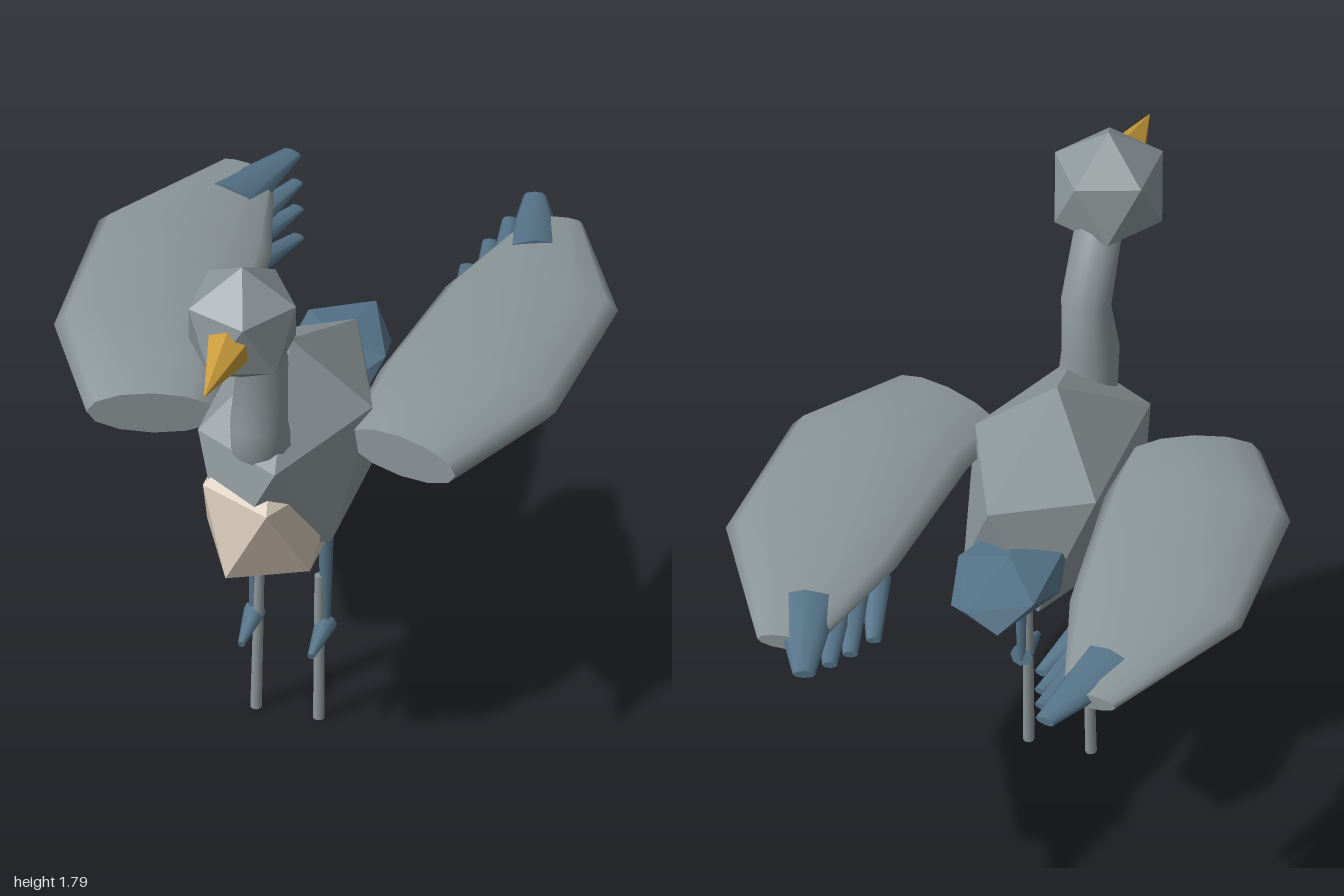
import * as THREE from 'three';

const V = (x, y, z) => new THREE.Vector3(x, y, z);

// Flat-faced icosahedron with a vertex straight up and another straight down
function gemGeometry() {
  const ring = (y, turn) => Array.from({ length: 5 }, (_, k) => {
    const a = (k + turn) * Math.PI * 0.4;
    return V(0.8944 * Math.cos(a), y, 0.8944 * Math.sin(a));
  });
  const up = ring(0.4472, 0), low = ring(-0.4472, 0.5);
  const top = V(0, 1, 0), bottom = V(0, -1, 0), pts = [];
  for (let k = 0; k < 5; k++) {
    const n = (k + 1) % 5;
    pts.push(top, up[n], up[k], up[k], up[n], low[k]);
    pts.push(up[n], low[n], low[k], bottom, low[k], low[n]);
  }
  const g = new THREE.BufferGeometry().setFromPoints(pts);
  g.computeVertexNormals();
  return g;
}

// Smooth skin over elliptical rings { c: centre, a, b: half axes }, with flat end caps
function loftGeometry(rings, sides, turn = 1) {
  const pts = [], index = [];
  const addRing = (r) => {
    for (let j = 0; j < sides; j++) {
      const t = (j / sides) * Math.PI * 2 * turn;
      pts.push(r.c.clone().addScaledVector(r.a, Math.cos(t)).addScaledVector(r.b, Math.sin(t)));
    }
  };
  rings.forEach(addRing);
  for (let i = 0; i < rings.length - 1; i++) {
    for (let j = 0; j < sides; j++) {
      const n = (j + 1) % sides, p = i * sides, q = p + sides;
      index.push(p + j, q + j, p + n, p + n, q + j, q + n);
    }
  }
  [rings[0], rings[rings.length - 1]].forEach((r, end) => {
    const base = pts.length;
    addRing(r);
    pts.push(r.c.clone());
    for (let j = 0; j < sides; j++) {
      const n = (j + 1) % sides;
      if (end) index.push(base + sides, base + n, base + j);
      else index.push(base + sides, base + j, base + n);
    }
  });
  const g = new THREE.BufferGeometry().setFromPoints(pts);
  g.setIndex(index);
  g.computeVertexNormals();
  return g;
}

export function createModel() {
  const model = new THREE.Group();
  model.name = 'bird';

  const material = (name, color, flatShading = false) => {
    const m = new THREE.MeshStandardMaterial({ color, flatShading });
    m.name = name;
    return m;
  };
  const grey = material('greyPlumage', 0x8b9598);
  const slate = material('slateBlue', 0x557388);
  const cream = material('cream', 0xd2c5b5);
  const gold = material('gold', 0xc79a3a, true);

  const add = (name, geometry, mat, parent = model) => {
    const mesh = new THREE.Mesh(geometry, mat);
    mesh.name = name;
    parent.add(mesh);
    return mesh;
  };
  const gem = (name, mat, centre, radii) => {
    const mesh = add(name, gemGeometry(), mat);
    mesh.position.set(...centre);
    mesh.scale.set(...radii);
  };
  // Tapered rod between two points
  const rod = (name, mat, from, to, r0, r1, sides, parent, flatten = 1) => {
    const dir = to.clone().sub(from);
    const g = new THREE.CylinderGeometry(r1, r0, dir.length(), sides);
    const mesh = add(name, g, mat, parent);
    mesh.position.copy(from).lerp(to, 0.5);
    mesh.quaternion.setFromUnitVectors(V(0, 1, 0), dir.normalize());
    mesh.scale.z = flatten;
    return mesh;
  };

  // Faceted masses
  gem('body', grey, [0, 0.91, 0.18], [0.265, 0.33, 0.458]);
  gem('breast', cream, [0, 0.82, 0.34], [0.212, 0.255, 0.306]);
  gem('head', grey, [0, 1.605, 0.635], [0.173, 0.185, 0.183]);
  gem('tail', slate, [0, 0.897, -0.24], [0.165, 0.062, 0.29]);

  // Curved neck
  const neck = [
    [1.05, 0.445, 0.087, 0, 0.085],
    [1.16, 0.475, 0.082, 0.01, 0.08],
    [1.35, 0.435, 0.072, -0.01, 0.056],
    [1.55, 0.562, 0.068, -0.03, 0.046],
  ].map(([y, z, rx, by, bz]) => ({ c: V(0, y, z), a: V(rx, 0, 0), b: V(0, by, bz) }));
  add('neck', loftGeometry(neck, 12), grey);

  // Six-sided beak
  const beak = new THREE.ConeGeometry(0.075, 0.27, 6);
  beak.rotateX(Math.PI / 2);
  const beakMesh = add('beak', beak, gold);
  beakMesh.position.set(0, 1.602, 0.865);
  beakMesh.rotation.x = 0.03;

  for (const s of [1, -1]) {
    const side = s > 0 ? 'left' : 'right';

    // Leg: thigh, shank and forward toe
    const leg = new THREE.Group();
    leg.name = side + 'Leg';
    model.add(leg);
    rod('thigh', slate, V(0.1 * s, 0.68, 0.167), V(0.103 * s, 0.28, 0.185), 0.023, 0.013, 8, leg);
    rod('shank', grey, V(0.086 * s, 0.465, 0.185), V(0.09 * s, 0, 0.205), 0.014, 0.016, 8, leg);
    rod('toe', slate, V(0.102 * s, 0.302, 0.175), V(0.1 * s, 0.28, 0.313), 0.032, 0.01, 8, leg);

    // Wing: inner edge [x, y, z], outer edge [x, y, z], half thickness
    const wing = new THREE.Group();
    wing.name = side + 'Wing';
    model.add(wing);
    const rings = [
      [0.18, 0.995, 0.25, 0.53, 1.01, 0.362, 0.066],
      [0.2, 1.045, -0.01, 0.72, 1.045, 0.04, 0.082],
      [0.25, 1.025, -0.47, 0.745, 1.045, -0.47, 0.06],
      [0.36, 1.0, -0.86, 0.518, 1.01, -0.885, 0.022],
    ].map(([x0, y0, z0, x1, y1, z1, h]) => {
      const inner = V(x0 * s, y0, z0), outer = V(x1 * s, y1, z1);
      return {
        c: inner.clone().lerp(outer, 0.5),
        a: outer.clone().sub(inner).multiplyScalar(0.5),
        b: V(0, h, 0),
      };
    });
    add('wingCover', loftGeometry(rings, 12, s), grey, wing);

    // Flight feathers: base, tip, base radius, tip radius, half thicknesses
    const feathers = [
      [0.44, 1.015, -0.7, 0.348, 1.0, -0.99, 0.085, 0.03, 0.05, 0.012],
      [0.38, 0.985, -0.63, 0.305, 0.975, -0.895, 0.05, 0.02, 0.035, 0.01],
      [0.35, 0.98, -0.56, 0.275, 0.955, -0.805, 0.045, 0.02, 0.033, 0.01],
      [0.31, 0.975, -0.47, 0.242, 0.937, -0.7, 0.04, 0.02, 0.032, 0.01],
    ];
    for (const [x0, y0, z0, x1, y1, z1, r0, r1, h0, h1] of feathers) {
      const ends = [
        { c: V(x0 * s, y0, z0), a: V(r0 * s, 0, -0.3 * r0), b: V(0, h0, 0) },
        { c: V(x1 * s, y1, z1), a: V(r1 * s, 0, -0.3 * r1), b: V(0, h1, 0) },
      ];
      add('flightFeather', loftGeometry(ends, 8, s), slate, wing);
    }
  }
  return model;
}
